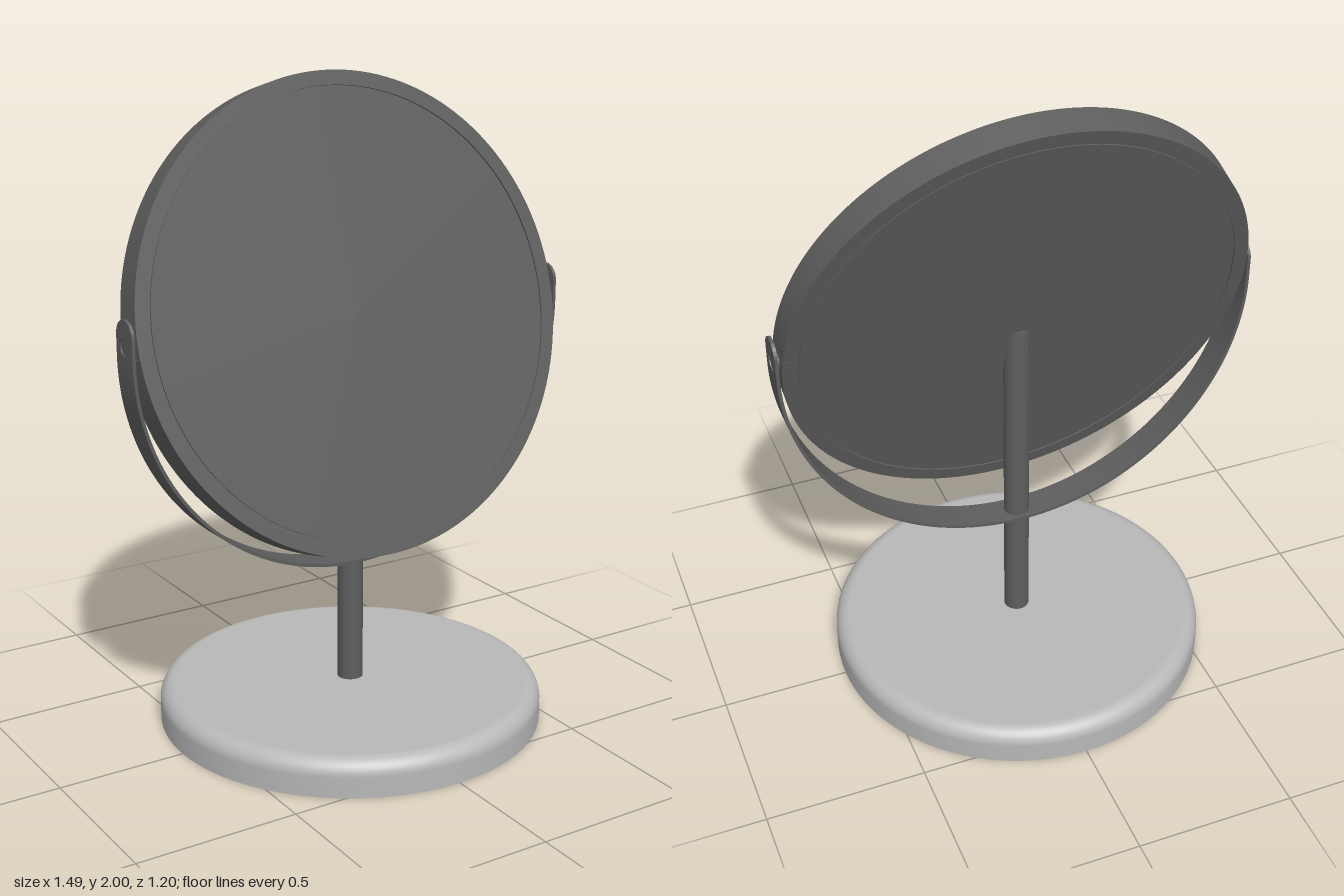
import * as THREE from 'three';
import { toCreasedNormals } from 'three/addons/utils/BufferGeometryUtils.js';

const dark = new THREE.MeshStandardMaterial({ color: 0x5e5e5e });
const light = new THREE.MeshStandardMaterial({ color: 0xb8b8b8, side: THREE.DoubleSide });

function addMesh(parent, name, geometry, material = dark) {
  const mesh = new THREE.Mesh(geometry, material);
  mesh.name = name;
  parent.add(mesh);
  return mesh;
}

// Extrude a flat shape, centred on its thickness, smooth around curves with sharp rims
function slab(shape, depth) {
  const geometry = new THREE.ExtrudeGeometry(shape, { depth, bevelEnabled: false, curveSegments: 64 });
  geometry.translate(0, 0, -depth / 2);
  return toCreasedNormals(geometry, 0.5);
}

// Part of a flat ring between two angles
function arcBand(inner, outer, start, end) {
  const shape = new THREE.Shape();
  shape.absarc(0, 0, outer, start, end, false);
  shape.absarc(0, 0, inner, end, start, true);
  return shape;
}

export function createModel() {
  const model = new THREE.Group();
  model.name = 'tableMirror';

  const pivotY = 1.286;
  const postR = 0.04;
  const baseTop = 0.115;

  // Base: thin shell with a rounded shoulder, open underneath
  const profile = [new THREE.Vector2(0.6, 0), new THREE.Vector2(0.6, 0.03)];
  const round = 0.05;
  for (let i = 0; i <= 10; i++) {
    const a = (i / 10) * Math.PI / 2;
    profile.push(new THREE.Vector2(0.55 + round * Math.cos(a), baseTop - round + round * Math.sin(a)));
  }
  profile.push(new THREE.Vector2(0.5, baseTop), new THREE.Vector2(postR, baseTop));
  addMesh(model, 'base', new THREE.LatheGeometry(profile, 96), light);

  // Post: solid rod rising from the base into the back of the mirror
  const postTop = 1.225;
  const postBottom = 0.11;
  addMesh(model, 'post', new THREE.CylinderGeometry(postR, postR, postTop - postBottom, 32))
    .position.y = (postTop + postBottom) / 2;

  // Bracket: flat strap bent into a U, with a rounded, drilled tab at each end
  const bracket = new THREE.Group();
  bracket.name = 'bracket';
  model.add(bracket);
  const outerR = 0.745;
  const strap = 0.01;
  const halfWidth = 0.05;
  const bendY = outerR + 0.51;
  const holeR = 0.026;

  const bend = arcBand(outerR - strap, outerR, Math.PI, Math.PI * 2);
  addMesh(bracket, 'bracketStrap', slab(bend, halfWidth * 2)).position.y = bendY;

  const tab = new THREE.Shape();
  tab.moveTo(-halfWidth, 0);
  tab.lineTo(halfWidth, 0);
  tab.absarc(0, 0.06, halfWidth, 0, Math.PI, false);
  tab.closePath();
  const hole = new THREE.Path();
  hole.absarc(0, pivotY - bendY, holeR, 0, Math.PI * 2, true);
  tab.holes.push(hole);
  const tabGeometry = slab(tab, strap).rotateY(Math.PI / 2);

  // Pivot pins sit just below the outer face of the tabs
  const pinLength = 0.03;
  const pinGeometry = new THREE.CylinderGeometry(holeR, holeR, pinLength, 32).rotateZ(Math.PI / 2);

  for (const [side, s] of [['left', 1], ['right', -1]]) {
    addMesh(bracket, side + 'BracketTab', tabGeometry)
      .position.set(s * (outerR - strap / 2), bendY, 0);
    addMesh(bracket, side + 'PivotPin', pinGeometry)
      .position.set(s * (outerR - 0.004 - pinLength / 2), pivotY, 0);
  }

  // Mirror head, tilted back on the pivots
  const head = new THREE.Group();
  head.name = 'mirrorHead';
  head.position.y = pivotY;
  head.rotation.x = THREE.MathUtils.degToRad(-15);
  model.add(head);

  // Rim: two half rings meeting at fine seams
  const rimR = 0.726;
  const openingR = 0.681;
  const seam = 0.001;
  const halfRim = slab(arcBand(openingR, rimR, seam, Math.PI - seam), 0.097);
  for (const [name, turn] of [['upperRim', 0], ['lowerRim', Math.PI]]) {
    addMesh(head, name, halfRim).rotation.z = turn + 0.055;
  }

  // Glass on both faces, with a core closing the narrow groove around it
  for (const [name, radius, depth] of [['mirrorGlass', 0.677, 0.095], ['mirrorCore', openingR, 0.085]]) {
    addMesh(head, name, new THREE.CylinderGeometry(radius, radius, depth, 128).rotateX(Math.PI / 2));
  }

  return model;
}
